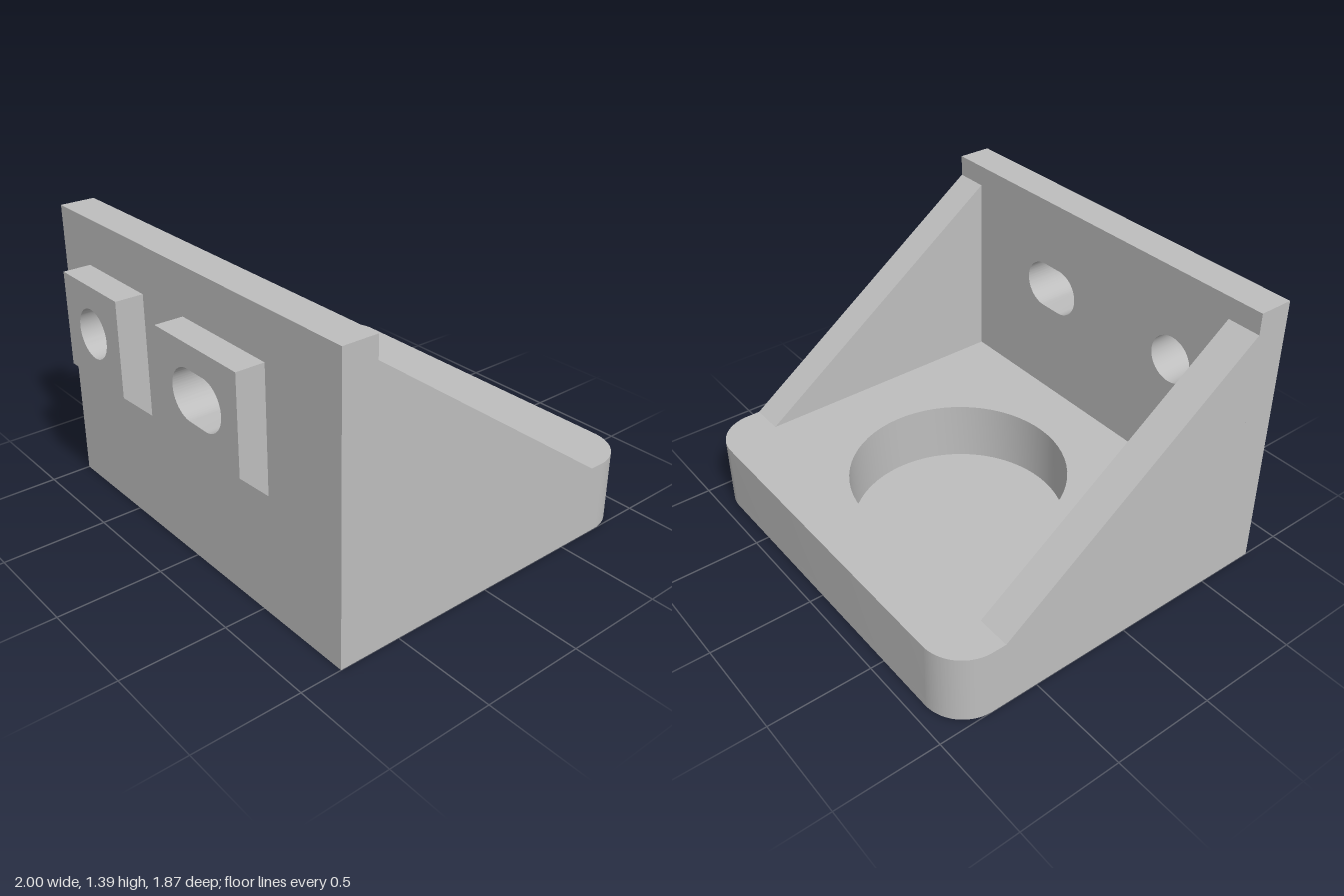
import * as THREE from 'three';
import { toCreasedNormals } from 'three/addons/utils/BufferGeometryUtils.js';

export function createModel() {
  const model = new THREE.Group();
  model.name = 'mountingBracket';
  const grey = new THREE.MeshStandardMaterial({ color: 0xbebebe });
  grey.name = 'plain grey';

  const BASE_TOP = 0.348, WALL_TOP = 1.387, BACK = -0.933;
  const WALL_BACK = 0.635, WALL_FRONT = 0.802, PAD_FRONT = 0.935;
  const HOLE_Y = 0.935, HOLE_R = 0.117, RIB = 0.165;

  const extrude = (shape, depth) => toCreasedNormals(
    new THREE.ExtrudeGeometry(shape, { depth, bevelEnabled: false, curveSegments: 32 }), 0.5);
  const polygon = (points) => new THREE.Shape(points.map(([x, y]) => new THREE.Vector2(x, y)));
  const rect = (x0, y0, x1, y1) => polygon([[x0, y0], [x1, y0], [x1, y1], [x0, y1]]);
  const add = (name, geometry) => {
    const mesh = new THREE.Mesh(geometry, grey);
    mesh.name = name;
    model.add(mesh);
  };

  // Pads on the front face: a round hole and a slot
  const pads = [
    { name: 'round', x0: -0.77, x1: -0.315, half: 0 },
    { name: 'slot', x0: -0.005, x1: 0.553, half: 0.054 },
  ];
  const slot = ({ x0, x1, half }) => {
    const c = (x0 + x1) / 2, path = new THREE.Path();
    if (half === 0) return path.absarc(c, HOLE_Y, HOLE_R, 0, Math.PI * 2);
    path.absarc(c + half, HOLE_Y, HOLE_R, -Math.PI / 2, Math.PI / 2);
    path.absarc(c - half, HOLE_Y, HOLE_R, Math.PI / 2, Math.PI * 1.5);
    path.closePath();
    return path;
  };

  // Upright wall with both openings
  const wall = rect(-1, 0, 1, WALL_TOP);
  wall.holes = pads.map(slot);
  add('uprightWall', extrude(wall, WALL_FRONT - WALL_BACK).translate(0, 0, WALL_BACK));

  for (const pad of pads) {
    const face = rect(pad.x0, 0.71, pad.x1, 1.162);
    face.holes = [slot(pad)];
    add(pad.name + 'Pad', extrude(face, PAD_FRONT - WALL_FRONT).translate(0, 0, WALL_FRONT));
    // Sloping underside of the pad
    const wedge = polygon([[-PAD_FRONT, 0.71], [-WALL_FRONT, 0.577], [-WALL_FRONT, 0.71]]);
    add(pad.name + 'PadChamfer',
      extrude(wedge, pad.x1 - pad.x0).rotateY(Math.PI / 2).translate(pad.x0, 0, 0));
  }

  // Base with rounded back corners and a blind round pocket
  const POCKET_FLOOR = 0.045, CORNER = 0.2;
  const baseShape = () => {
    const s = new THREE.Shape();
    s.moveTo(-1, -WALL_BACK);
    s.lineTo(1, -WALL_BACK);
    s.absarc(1 - CORNER, -BACK - CORNER, CORNER, 0, Math.PI / 2);
    s.absarc(-1 + CORNER, -BACK - CORNER, CORNER, Math.PI / 2, Math.PI);
    s.closePath();
    return s;
  };
  const rim = baseShape();
  rim.holes = [new THREE.Path().absarc(0, 0.153, 0.515, 0, Math.PI * 2)];
  add('baseFloor', extrude(baseShape(), POCKET_FLOOR).rotateX(-Math.PI / 2));
  add('baseRim', extrude(rim, BASE_TOP - POCKET_FLOOR).rotateX(-Math.PI / 2)
    .translate(0, POCKET_FLOOR, 0));

  // Triangular ribs on both sides
  const rib = polygon([[-WALL_BACK, BASE_TOP], [0.667, BASE_TOP], [-WALL_BACK, 1.285]]);
  for (const [name, x] of [['leftRib', 1 - RIB], ['rightRib', -1]]) {
    add(name, extrude(rib, RIB).rotateY(Math.PI / 2).translate(x, 0, 0));
  }

  return model;
}
